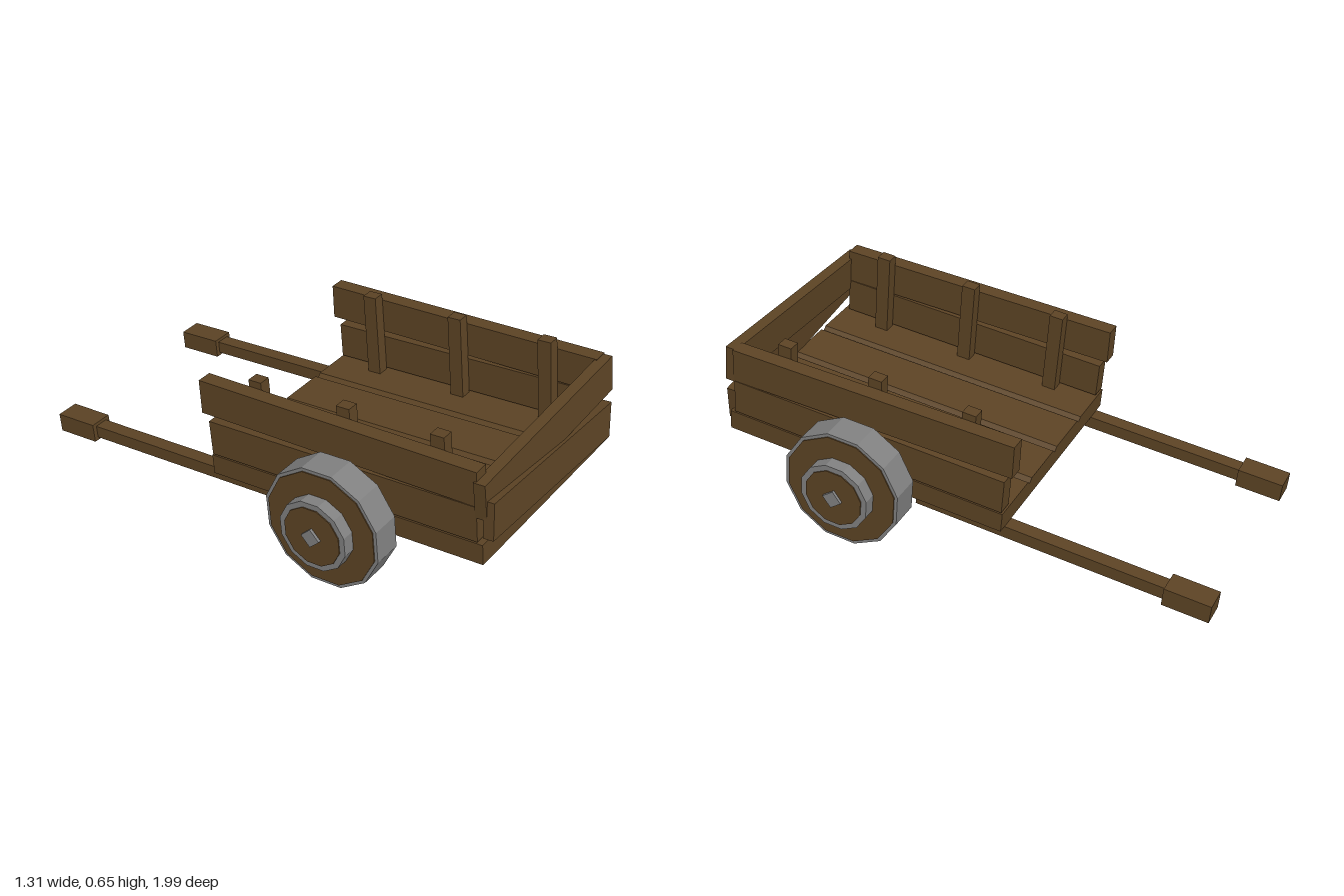
import * as THREE from 'three';

const TILT = -0.09; // the cart rests with its handles down at the back

export function createModel() {
  const wood = new THREE.MeshStandardMaterial({ color: 0x5c4324 });
  wood.name = 'brown wood';
  const iron = new THREE.MeshStandardMaterial({ color: 0x808080 });
  iron.name = 'grey iron';

  const cart = new THREE.Group();
  cart.name = 'handcart';

  const board = (name, size, pos, pitch = TILT, yaw = 0, roll = 0) => {
    const mesh = new THREE.Mesh(new THREE.BoxGeometry(...size), wood);
    mesh.name = name;
    mesh.position.set(...pos);
    mesh.rotation.set(pitch, yaw, roll);
    cart.add(mesh);
  };

  // Floor with three V grooves between its planks
  const w = 0.45, h = 0.04, length = 1.155;
  const section = new THREE.Shape();
  section.moveTo(-w, -h);
  section.lineTo(w, -h);
  section.lineTo(w, h);
  for (const x of [0.22, 0, -0.22]) {
    section.lineTo(x + 0.016, h);
    section.lineTo(x, h - 0.016);
    section.lineTo(x - 0.016, h);
  }
  section.lineTo(-w, h);
  const floorGeometry = new THREE.ExtrudeGeometry(section, { depth: length, bevelEnabled: false });
  floorGeometry.translate(0, 0, -length / 2);
  const floor = new THREE.Mesh(floorGeometry, wood);
  floor.name = 'floor';
  floor.position.set(0, 0.247, 0.383);
  floor.rotation.x = TILT;
  cart.add(floor);

  // Crooked front boards
  board('upperFrontBoard', [0.9, 0.142, 0.045], [-0.005, 0.532, 0.935], TILT, 0, 0.04);
  board('lowerFrontBoard', [0.89, 0.142, 0.04], [-0.01, 0.405, 0.963], TILT, 0.03, -0.1);

  // A cylinder lying along x, from x0 to x1
  const disc = (name, parent, radius, x0, x1, sides, materials) => {
    const geometry = new THREE.CylinderGeometry(radius, radius, x1 - x0, sides, 1, false, Math.PI / sides);
    geometry.rotateZ(-Math.PI / 2);
    const mesh = new THREE.Mesh(geometry.toNonIndexed(), materials);
    // keep the side and cap groups of the cylinder
    mesh.geometry.clearGroups();
    for (const g of geometry.groups) mesh.geometry.addGroup(g.start, g.count, g.materialIndex);
    mesh.geometry.computeVertexNormals();
    mesh.name = name;
    mesh.position.x = (x0 + x1) / 2;
    parent.add(mesh);
  };

  for (const side of [1, -1]) {
    const label = side > 0 ? 'left' : 'right';

    // Side planks
    board(label + 'LowerPlank', [0.06, 0.14, 1.13], [side * 0.42, 0.362, 0.365]);
    board(label + 'UpperPlank', [0.06, 0.137, 1.16], [side * 0.42, 0.514, 0.34], -0.066);

    // Posts
    for (let i = 0; i < 3; i++) {
      board(label + 'Post', [0.047, 0.36, 0.055], [side * 0.365, 0.405 + i * 0.035, -0.02 + i * 0.38]);
    }

    // Handle and grip
    board(label + 'Handle', [0.056, 0.05, 1.0], [side * 0.387, 0.116, -0.32]);
    board(label + 'Grip', [0.092, 0.075, 0.18], [side * 0.387, 0.064, -0.902]);

    // Wheel, built for the left side and turned round for the right
    const wheel = new THREE.Group();
    wheel.name = label + 'Wheel';
    wheel.position.set(0, 0.242, 0.393);
    wheel.rotation.set(TILT, side > 0 ? 0 : Math.PI, 0);
    disc('tyre', wheel, 0.241, 0.47, 0.585, 12, [iron, iron, wood]);
    disc('wheelFace', wheel, 0.228, 0.583, 0.589, 12, [wood, wood, wood]);
    disc('hub', wheel, 0.14, 0.585, 0.638, 12, [iron, iron, iron]);
    disc('hubFace', wheel, 0.118, 0.636, 0.642, 12, [wood, wood, wood]);
    disc('axleEnd', wheel, 0.038, 0.636, 0.653, 4, [iron, iron, iron]);
    wheel.children[4].rotation.x = 0.7;
    cart.add(wheel);
  }

  return cart;
}
